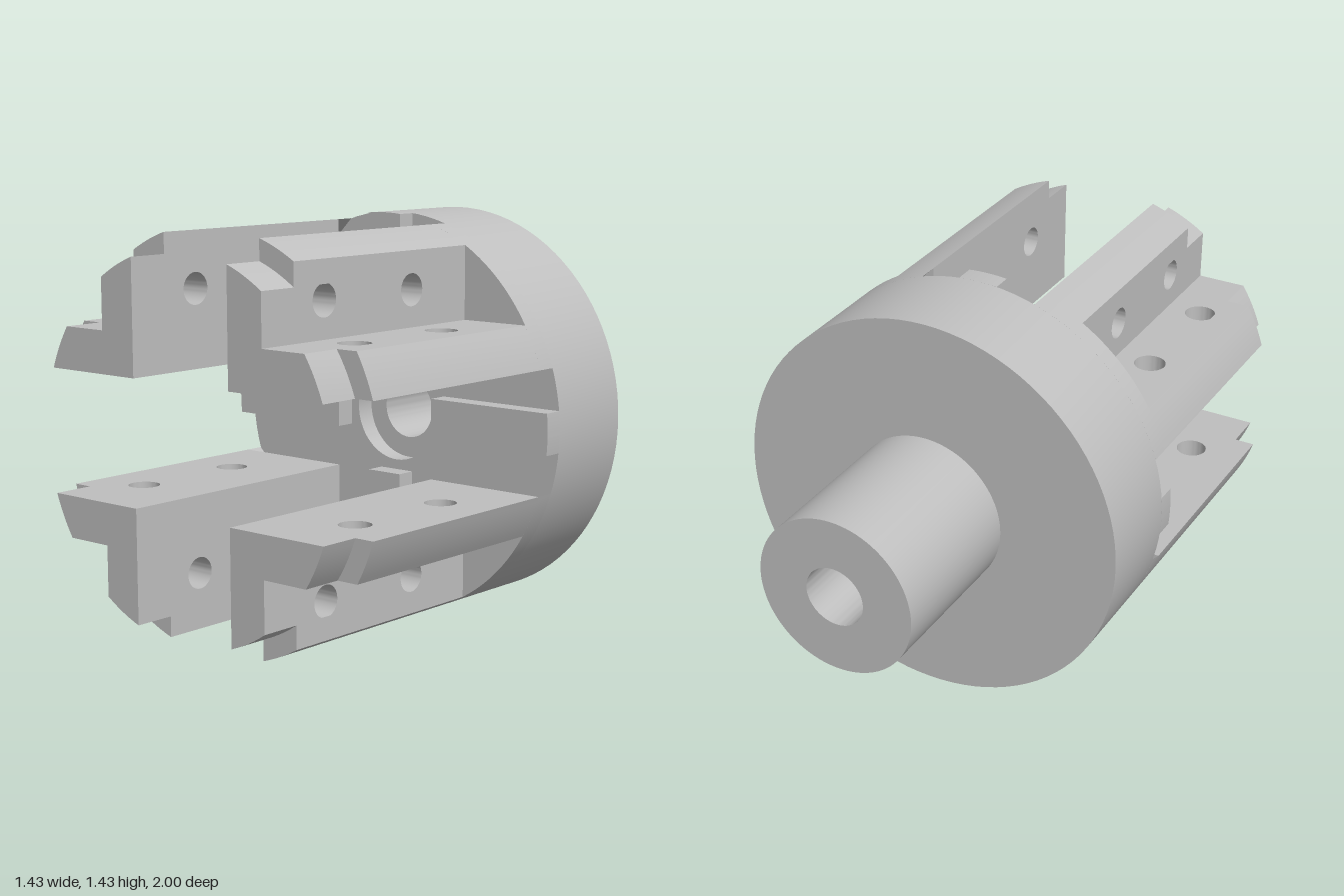
import * as THREE from 'three';
import { toCreasedNormals } from 'three/addons/utils/BufferGeometryUtils.js';

const R = 0.713;          // disc and jaw radius
const R_TIP = 0.645;      // reduced radius at the jaw tips
const SLOT = 0.215;       // half width of the cross slot
const WALL = 0.36;        // outer face of each jaw plate
const RIB = 0.072;        // half width of the slot ribs
const SLOT_DEPTH = 0.07;
const SHOULDER = 0.855;   // z where the jaw tip steps in

// One jaw plate: flat sides with two cross holes, outer end following the disc's curve
function jawPlate(x0, inner) {
  const OUT = 0.7, TIP = 0.6; // placeholder heights, bent to the arc below
  const shape = new THREE.Shape();
  shape.moveTo(0, inner);
  shape.lineTo(1, inner);
  shape.lineTo(1, TIP);
  shape.lineTo(SHOULDER, TIP);
  shape.lineTo(SHOULDER, OUT);
  shape.lineTo(0, OUT);
  shape.closePath();
  for (const z of [0.285, 0.715]) {
    const hole = new THREE.Path();
    hole.absarc(z, 0.485, 0.055, 0, Math.PI * 2, true);
    shape.holes.push(hole);
  }
  const depth = WALL - SLOT;
  const g = new THREE.ExtrudeGeometry(shape, { depth, steps: 6, curveSegments: 24, bevelEnabled: false });
  g.rotateY(-Math.PI / 2).translate(x0 + depth, 0, 0);
  const p = g.attributes.position;
  for (let i = 0; i < p.count; i++) {
    const x = p.getX(i), y = p.getY(i);
    if (y > 0.65) p.setY(i, Math.sqrt(R * R - x * x));
    else if (y > 0.57) p.setY(i, Math.sqrt(R_TIP * R_TIP - x * x));
  }
  return toCreasedNormals(g, 0.5);
}

// Raised pad on the disc face
function pad(shape) {
  const g = new THREE.ExtrudeGeometry(shape, { depth: SLOT_DEPTH, curveSegments: 24, bevelEnabled: false });
  g.translate(0, 0, -SLOT_DEPTH);
  return toCreasedNormals(g, 0.5);
}

export function createModel() {
  const steel = new THREE.MeshStandardMaterial({ color: 0xbfbfbf });
  steel.name = 'grey steel';
  const model = new THREE.Group();
  model.name = 'jawHub';
  const add = (parent, name, geometry) => {
    const mesh = new THREE.Mesh(geometry, steel);
    mesh.name = name;
    parent.add(mesh);
    return mesh;
  };

  // Disc and rear shaft with a through bore and front counterbore
  const profile = [
    [0.107, -1], [0.285, -1], [0.285, -0.425], [R, -0.425], [R, -SLOT_DEPTH],
    [0.18, -SLOT_DEPTH], [0.18, -0.14], [0.107, -0.14], [0.107, -1],
  ].map(([r, z]) => new THREE.Vector2(r, z));
  const body = new THREE.LatheGeometry(profile, 96).rotateX(Math.PI / 2);
  add(model, 'discAndShaft', toCreasedNormals(body, 0.5));

  // Quarter pad behind each jaw
  const slotAngle = Math.asin(SLOT / R);
  const quarter = new THREE.Shape();
  quarter.moveTo(SLOT, SLOT);
  quarter.absarc(0, 0, R, slotAngle, Math.PI / 2 - slotAngle, false);
  quarter.closePath();
  const quarterGeo = pad(quarter);

  // Rib running along the middle of each slot arm
  const ribAngle = Math.asin(RIB / R);
  const rib = new THREE.Shape();
  rib.moveTo(SLOT, RIB);
  rib.lineTo(SLOT, -RIB);
  rib.absarc(0, 0, R, -ribAngle, ribAngle, false);
  rib.closePath();
  const ribGeo = pad(rib);

  // L-shaped jaw: upright plate plus a sideways plate
  const uprightGeo = jawPlate(SLOT, SLOT);
  const sidewaysGeo = jawPlate(-WALL, WALL).rotateZ(-Math.PI / 2);

  // Four equal quarters around the axis
  for (let i = 0; i < 4; i++) {
    const sector = new THREE.Group();
    sector.name = 'jaw' + (i + 1);
    sector.rotation.z = i * Math.PI / 2;
    add(sector, 'facePad', quarterGeo);
    add(sector, 'slotRib', ribGeo);
    add(sector, 'uprightPlate', uprightGeo);
    add(sector, 'sidewaysPlate', sidewaysGeo);
    model.add(sector);
  }

  model.position.y = R;
  const root = new THREE.Group();
  root.name = 'coupling';
  root.add(model);
  return root;
}
